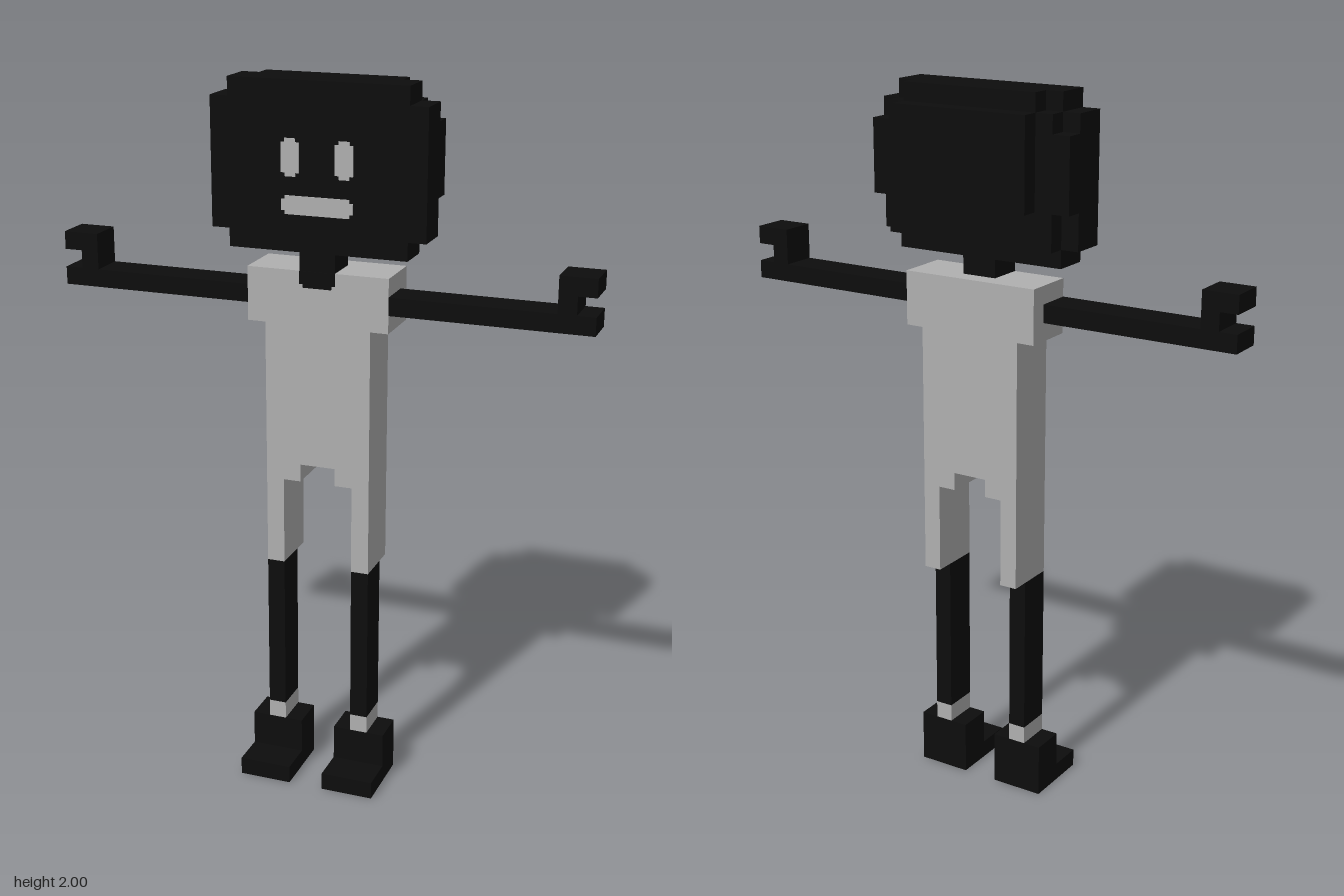
import * as THREE from 'three';

const black = new THREE.MeshStandardMaterial({ color: 0x0d0d0d });
black.name = 'black';
const grey = new THREE.MeshStandardMaterial({ color: 0xb0b0b0 });
grey.name = 'grey';

export function createModel() {
  const model = new THREE.Group();
  model.name = 'blockFigure';

  const group = (name) => {
    const g = new THREE.Group();
    g.name = name;
    model.add(g);
    return g;
  };

  // Block given by its extents on each axis
  const block = (parent, name, material, [x0, x1], [y0, y1], [z0, z1]) => {
    const mesh = new THREE.Mesh(new THREE.BoxGeometry(x1 - x0, y1 - y0, z1 - z0), material);
    mesh.position.set((x0 + x1) / 2, (y0 + y1) / 2, (z0 + z1) / 2);
    mesh.name = name;
    parent.add(mesh);
  };

  // Outline pushed back from z0 by depth
  const extrude = (parent, name, material, points, z0, depth) => {
    const shape = new THREE.Shape(points.map(([x, y]) => new THREE.Vector2(x, y)));
    const mesh = new THREE.Mesh(
      new THREE.ExtrudeGeometry(shape, { depth, bevelEnabled: false }), material);
    mesh.position.z = z0;
    mesh.name = name;
    parent.add(mesh);
  };

  // Thin painted plate with small stepped corners
  const plate = (parent, name, material, x0, x1, y0, y1, topStep = 0.01) => {
    const s = 0.01, t = topStep;
    extrude(parent, name, material, [
      [x0 + s, y0], [x1 - s, y0], [x1 - s, y0 + s], [x1, y0 + s],
      [x1, y1 - t], [x1 - t, y1 - t], [x1 - t, y1],
      [x0 + t, y1], [x0 + t, y1 - t], [x0, y1 - t], [x0, y0 + s], [x0 + s, y0 + s],
    ].filter((p, i, a) => i === 0 || p[0] !== a[i - 1][0] || p[1] !== a[i - 1][1]), 0.05, 0.003);
  };

  // Head: stepped stack of blocks
  const head = group('head');
  block(head, 'face', black, [-0.3, 0.3], [1.6, 1.95], [-0.05, 0.05]);
  block(head, 'crownAndChin', black, [-0.25, 0.25], [1.55, 2], [-0.05, 0.05]);
  block(head, 'backOfHead', black, [-0.25, 0.25], [1.6, 1.95], [-0.1, -0.05]);
  block(head, 'backCrown', black, [-0.2, 0.2], [1.95, 2], [-0.1, -0.05]);
  block(head, 'sideHair', black, [-0.3, 0.3], [1.7, 1.9], [-0.1, -0.05]);
  block(head, 'rearHair', black, [-0.2, 0.2], [1.7, 1.95], [-0.15, -0.1]);
  block(head, 'neck', black, [-0.05, 0.05], [1.5, 1.55], [-0.05, 0.05]);
  plate(head, 'mouth', grey, -0.1, 0.1, 1.65, 1.7);
  plate(head, 'collar', black, -0.05, 0.05, 1.455, 1.5, 0);

  // Shirt and shorts as one symmetric outline
  const half = [
    [0.05, 0.95], [0.05, 0.9], [0.1, 0.9], [0.1, 0.65], [0.15, 0.65],
    [0.15, 1.35], [0.2, 1.35], [0.2, 1.5],
  ];
  const mirrored = half.map(([x, y]) => [-x, y]).reverse();
  extrude(model, 'shirtAndShorts', grey, [...half, ...mirrored], -0.1, 0.15);

  // Mirrored parts
  for (const side of [1, -1]) {
    const label = side > 0 ? 'left' : 'right';
    const span = (a, b) => (side > 0 ? [a, b] : [-b, -a]);
    const deep = [-0.05, 0.05];

    plate(head, label + 'Eye', grey, ...span(0.05, 0.1), 1.75, 1.85);

    const arm = group(label + 'Arm');
    block(arm, 'forearm', black, span(0.2, 0.75), [1.4, 1.45], deep);
    block(arm, 'palm', black, span(0.65, 0.7), [1.45, 1.5], deep);
    block(arm, 'fingers', black, span(0.65, 0.75), [1.5, 1.55], deep);

    const leg = group(label + 'Leg');
    block(leg, 'shin', black, span(0.1, 0.15), [0.2, 0.65], deep);
    block(leg, 'sock', grey, span(0.1, 0.15), [0.15, 0.2], deep);
    block(leg, 'shoe', black, span(0.05, 0.2), [0, 0.15], deep);
    block(leg, 'toe', black, span(0.05, 0.2), [0, 0.05], [0.05, 0.15]);
  }

  return model;
}
